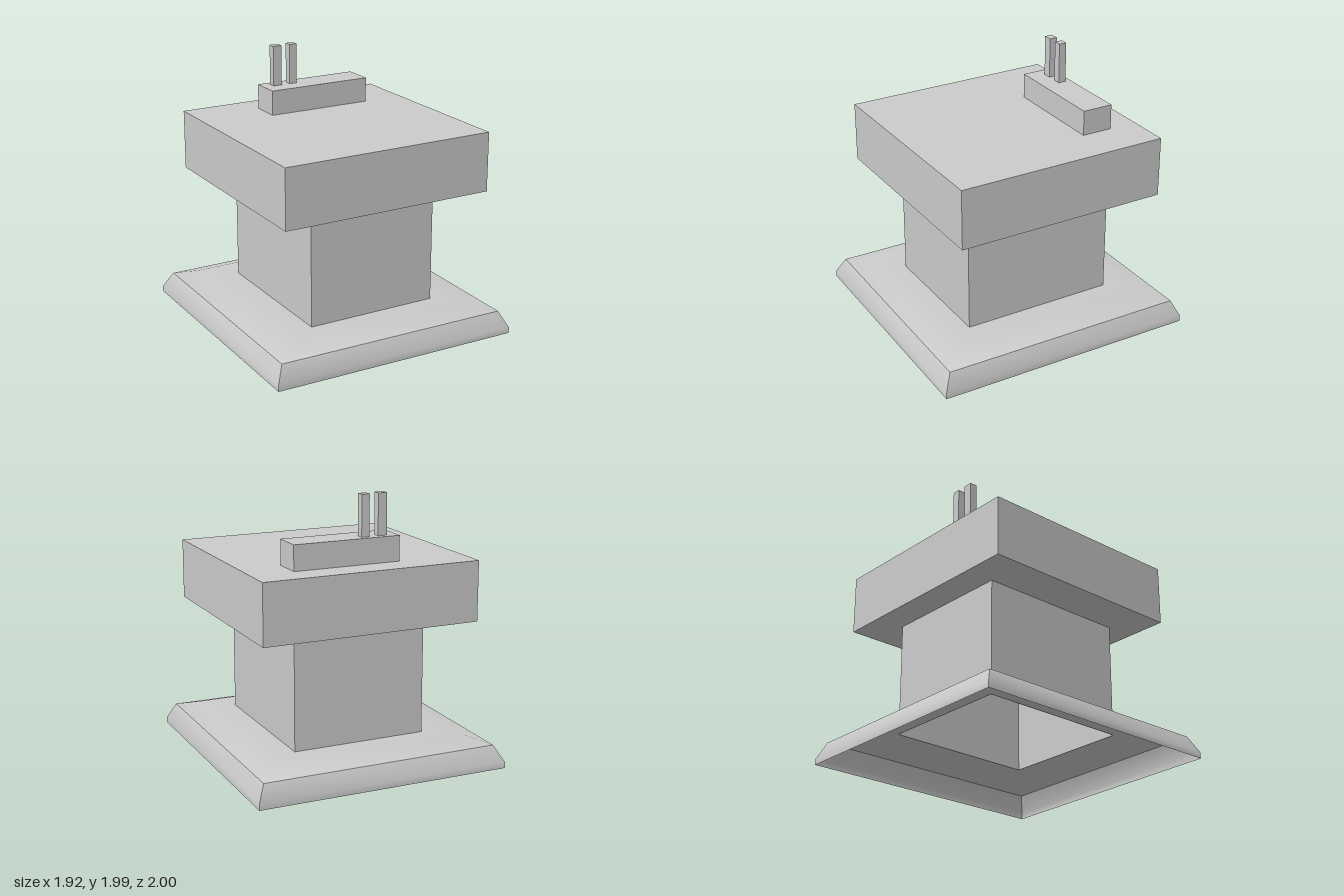
import * as THREE from 'three';
import { toCreasedNormals } from 'three/addons/utils/BufferGeometryUtils.js';

const grey = new THREE.MeshStandardMaterial({ color: 0xcccccc });
const greyDouble = new THREE.MeshStandardMaterial({ color: 0xcccccc, side: THREE.DoubleSide });

// Block given by its extents on each axis
function block(name, [x0, x1], [y0, y1], [z0, z1], material = grey) {
  const mesh = new THREE.Mesh(new THREE.BoxGeometry(x1 - x0, y1 - y0, z1 - z0), material);
  mesh.position.set((x0 + x1) / 2, (y0 + y1) / 2, (z0 + z1) / 2);
  mesh.name = name;
  return mesh;
}

// Skin through four-cornered loops, listed from the bottom up
function loftSquares(loops) {
  const positions = loops.flatMap(({ y, corners }) => corners.flatMap(([x, z]) => [x, y, z]));
  const index = [];
  for (let r = 0; r < loops.length - 1; r++) {
    for (let i = 0; i < 4; i++) {
      const j = (i + 1) % 4;
      const a = r * 4 + i, b = r * 4 + j, c = a + 4, d = b + 4;
      index.push(a, c, d, a, d, b);
    }
  }
  const geometry = new THREE.BufferGeometry();
  geometry.setAttribute('position', new THREE.Float32BufferAttribute(positions, 3));
  geometry.setIndex(index);
  return toCreasedNormals(geometry, 0.6);
}

export function createModel() {
  const model = new THREE.Group();
  const columnX = [-0.49, 0.52], columnZ = [-0.58, 0.58];

  // Hollow base: slightly uneven skirt, sloping shoulder, flat top around the column
  const rim = [[-0.95, -1], [0.955, -0.985], [0.942, 0.997], [-0.962, 0.967]];
  const shoulder = [[-0.885, -0.935], [0.9, -0.93], [0.882, 0.935], [-0.902, 0.905]];
  const crown = [[-0.74, -0.78], [0.73, -0.78], [0.73, 0.78], [-0.74, 0.78]];
  const opening = [
    [columnX[0], columnZ[0]], [columnX[1], columnZ[0]],
    [columnX[1], columnZ[1]], [columnX[0], columnZ[1]],
  ];
  const base = new THREE.Mesh(loftSquares([
    { y: 0, corners: rim },
    { y: 0.045, corners: rim },
    { y: 0.165, corners: shoulder },
    { y: 0.212, corners: crown },
    { y: 0.212, corners: opening },
  ]), greyDouble);
  base.name = 'base';
  model.add(base);

  // Hollow column: a box without its top and bottom faces
  const column = block('column', columnX, [0.21, 1.065], columnZ, greyDouble);
  const sides = Array.from(column.geometry.index.array);
  sides.splice(12, 12);
  column.geometry.setIndex(sides);
  column.geometry.clearGroups();
  model.add(column);

  // Slab, rear block and the two posts on it
  model.add(block('topSlab', [-0.805, 0.838], [1.063, 1.507], [-0.8, 0.8]));
  model.add(block('rearBlock', [-0.285, 0.522], [1.507, 1.692], [-0.588, -0.357]));
  for (const [name, x] of [['rightPost', [-0.205, -0.137]], ['leftPost', [-0.07, -0.01]]]) {
    model.add(block(name, x, [1.692, 1.993], [-0.545, -0.487]));
  }

  return model;
}
